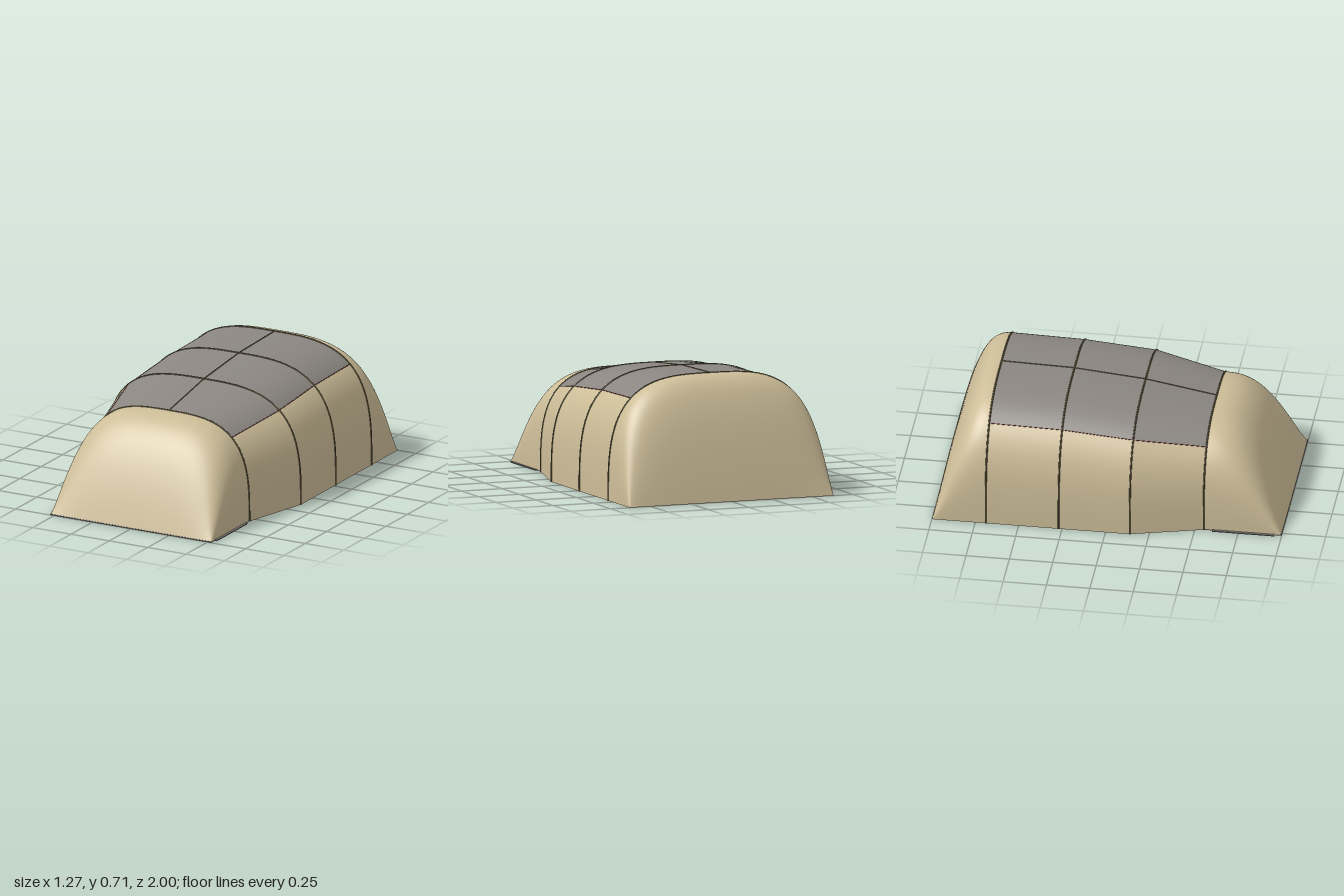
import * as THREE from 'three';

const mat = (name, color) =>
  new THREE.MeshStandardMaterial({ name, color, side: THREE.DoubleSide });

// Point on the squarish arch; a runs from 0 (left foot) to PI (right foot)
const POWER = 0.625;
function archPoint({ z, w, h }, a) {
  const c = Math.cos(a), s = Math.max(0, Math.sin(a));
  return new THREE.Vector3(
    w * Math.sign(c) * Math.abs(c) ** POWER, h * (s < 1e-6 ? 0 : s ** POWER), z);
}

// Skin stretched over a row of arches, between two arch angles
function loft(rings, a0, a1, segments) {
  const pos = [], index = [], row = segments + 1;
  rings.forEach((ring, i) => {
    for (let j = 0; j <= segments; j++) {
      pos.push(...archPoint(ring, a0 + (a1 - a0) * j / segments).toArray());
      if (i && j) {
        const d = i * row + j, c = d - 1, b = d - row, a = b - 1;
        index.push(a, c, b, b, c, d);
      }
    }
  });
  const g = new THREE.BufferGeometry();
  g.setAttribute('position', new THREE.Float32BufferAttribute(pos, 3));
  g.setIndex(index);
  g.computeVertexNormals();
  return g;
}

export function createModel() {
  const model = new THREE.Group();
  model.name = 'tent';
  const canvas = mat('sandCanvas', 0xcdbd98);
  const grey = mat('greyFabric', 0x8b8681);
  const floorGrey = mat('floorGrey', 0x7c7a77);
  const olive = mat('olivePiping', 0x645c3e);
  const red = mat('redSeam', 0x6e3438);

  const add = (name, geometry, material) => {
    const mesh = new THREE.Mesh(geometry, material);
    mesh.name = name;
    model.add(mesh);
    return mesh;
  };
  const tube = (name, points, radius, material) => {
    const path = new THREE.CurvePath();
    for (let i = 1; i < points.length; i++) path.add(new THREE.LineCurve3(points[i - 1], points[i]));
    add(name, new THREE.TubeGeometry(path, (points.length - 1) * 2, radius, 6), material);
  };

  // Arches from front to back
  const arches = [
    { z: 0.55, w: 0.525, h: 0.583 },
    { z: 0.14, w: 0.633, h: 0.655 },
    { z: -0.27, w: 0.633, h: 0.693 },
    { z: -0.69, w: 0.633, h: 0.703 },
  ];
  const EDGE = 0.838; // arch angle where the roof panel begins

  // Three bays, each with two walls and a roof panel
  for (let i = 0; i < 3; i++) {
    const bay = [arches[i], arches[i + 1]];
    add('leftWall', loft(bay, 0, EDGE, 28), canvas);
    add('roofPanel', loft(bay, EDGE, Math.PI - EDGE, 36), grey);
    add('rightWall', loft(bay, Math.PI - EDGE, Math.PI, 28), canvas);
  }

  // Rounded ends: the arch keeps its width and sinks to the ground
  const cap = (name, arch, endZ) => {
    const rings = [];
    for (let i = 0; i <= 28; i++) {
      const t = i / 28;
      rings.push({ z: arch.z + (endZ - arch.z) * t, w: arch.w, h: arch.h * (1 - t ** 2.5) });
    }
    if (endZ < arch.z) add(name, loft(rings, 0, Math.PI, 90), canvas);
    else add(name, loft(rings.reverse(), 0, Math.PI, 90), canvas);
  };
  cap('frontEnd', arches[0], 1);
  cap('backEnd', arches[3], -1);

  // Piping over each arch
  for (const arch of arches) {
    const points = [];
    for (let j = 0; j <= 72; j++) points.push(archPoint(arch, Math.PI * j / 72));
    tube('archPiping', points, 0.005, olive);
  }

  // Ridge piping and the seams along the roof panel
  tube('ridgePiping', arches.map(r => archPoint(r, Math.PI / 2)), 0.004, olive);
  for (const a of [EDGE, Math.PI - EDGE])
    tube('roofSeam', arches.map(r => archPoint(r, a)), 0.0025, red);

  // Inner partition behind the front end
  const outline = [];
  for (let j = 0; j <= 72; j++) {
    const p = archPoint(arches[0], Math.PI * j / 72);
    outline.push(new THREE.Vector2(p.x * 0.995, p.y * 0.995));
  }
  add('partition', new THREE.ShapeGeometry(new THREE.Shape(outline)), grey)
    .position.z = 0.548;

  // Floor under the front end
  add('floor', new THREE.BoxGeometry(1.05, 0.006, 0.45), floorGrey)
    .position.set(0, 0.003, 0.775);
  for (const s of [-1, 1])
    add('floorHem', new THREE.BoxGeometry(0.015, 0.006, 0.36), floorGrey)
      .position.set(s * 0.532, 0.003, 0.78);

  return model;
}
